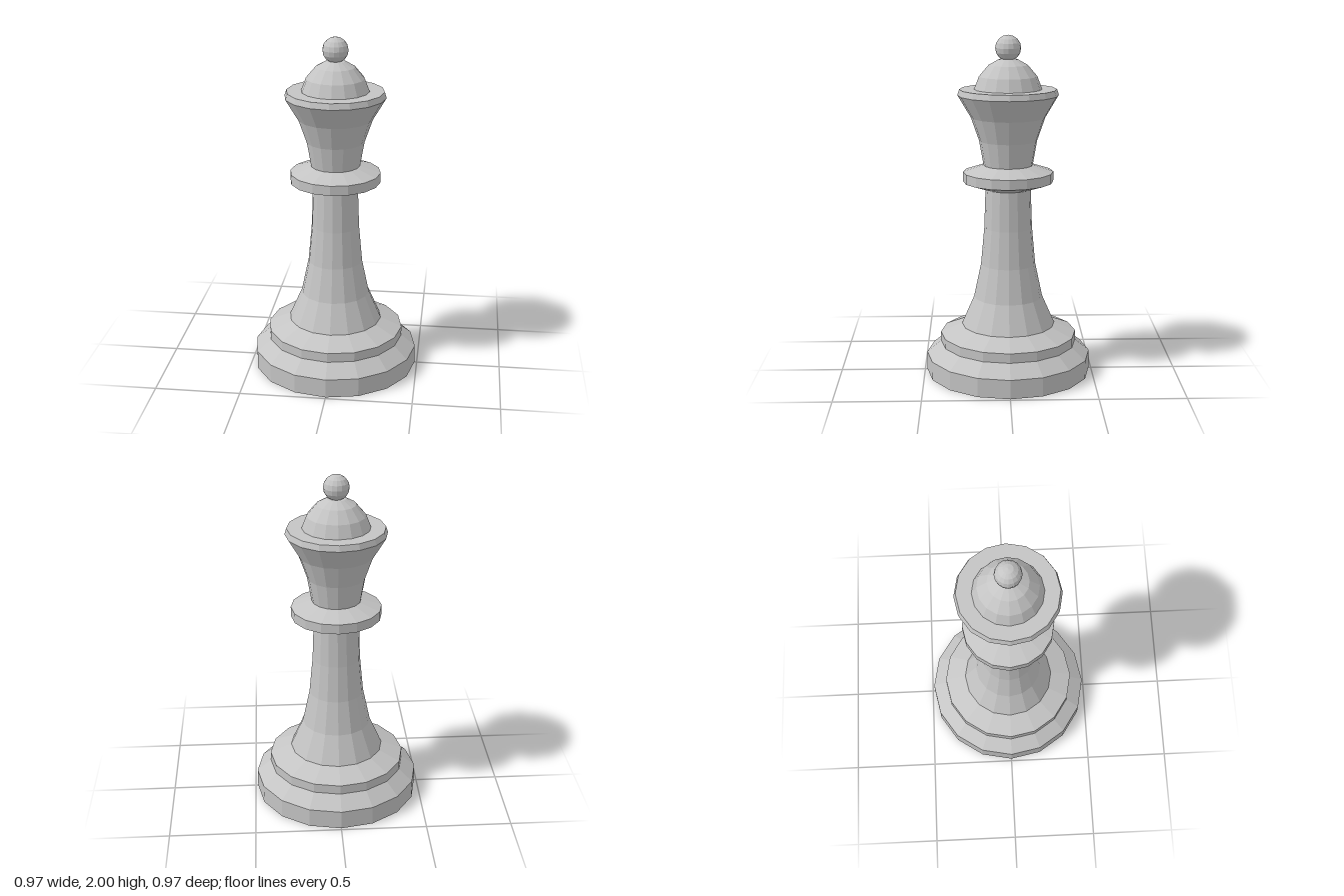
import * as THREE from 'three';

const SIDES = 16;

// Faceted copy: every face gets its own normal
function faceted(geometry) {
  const flat = geometry.toNonIndexed();
  flat.computeVertexNormals();
  return flat;
}

export function createModel() {
  const group = new THREE.Group();
  const grey = new THREE.MeshStandardMaterial({ color: 0xc4c4c4 });
  grey.name = 'grey';

  function add(name, geometry) {
    const mesh = new THREE.Mesh(faceted(geometry), grey);
    mesh.name = name;
    group.add(mesh);
    return mesh;
  }

  // Turned part from [radius, height] pairs, bottom to top
  function turned(name, profile) {
    const points = profile.map(([r, y]) => new THREE.Vector2(r, y));
    return add(name, new THREE.LatheGeometry(points, SIDES));
  }

  // Stepped foot
  turned('base', [[0, 0], [0.486, 0], [0.486, 0.112], [0.402, 0.182]]);
  turned('baseStep', [[0.402, 0.182], [0.402, 0.238], [0.275, 0.292]]);

  // Tapering column
  turned('stem', [[0.275, 0.292], [0.202, 0.46], [0.16, 0.66], [0.14, 0.88], [0.132, 1.112]]);

  // Ring around the neck
  turned('collar', [[0.132, 1.112], [0.263, 1.155], [0.263, 1.212], [0.143, 1.252]]);

  // Flared crown with a flat rim
  turned('crown', [
    [0.143, 1.252], [0.168, 1.395], [0.215, 1.53], [0.291, 1.658], [0.28, 1.692], [0.195, 1.692],
  ]);

  // Dome and ball on top
  turned('dome', [[0.195, 1.692], [0.167, 1.765], [0.112, 1.83], [0.055, 1.862], [0, 1.868]]);
  add('finial', new THREE.SphereGeometry(0.074, SIDES, 8)).position.y = 1.926;

  return group;
}
